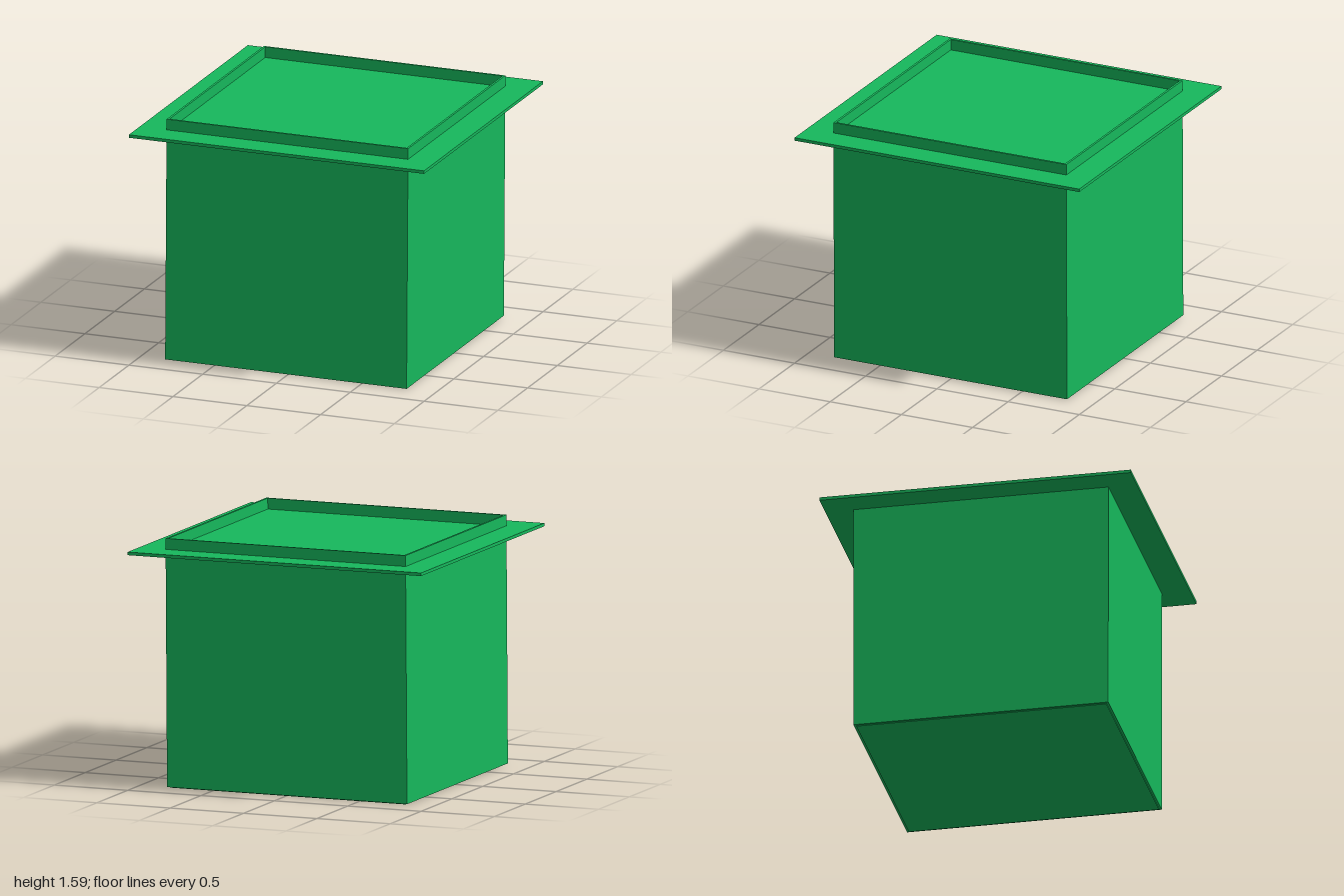
import * as THREE from 'three';

const OUTER = 0.818, INNER = 0.803, TOP = 1.59, FLOOR = 0.012;

function square(half, Type = THREE.Shape) {
  const s = new Type();
  s.moveTo(-half, -half);
  s.lineTo(half, -half);
  s.lineTo(half, half);
  s.lineTo(-half, half);
  s.closePath();
  return s;
}

// The box leans very slightly: its foot sits a touch towards -x
function lean(geometry) {
  const p = geometry.attributes.position;
  for (let i = 0; i < p.count; i++) {
    p.setX(i, p.getX(i) - 0.01 * (1 - p.getY(i) / TOP));
  }
  geometry.computeVertexNormals();
  return geometry;
}

export function createModel() {
  const group = new THREE.Group();
  group.name = 'flangedBox';
  const green = new THREE.MeshStandardMaterial({ color: 0x16b85c, flatShading: true });
  const add = (name, geometry) => {
    const mesh = new THREE.Mesh(geometry, green);
    mesh.name = name;
    group.add(mesh);
    return mesh;
  };

  // Thin square tube forming the four walls and the raised rim
  const wallShape = square(OUTER);
  wallShape.holes.push(square(INNER, THREE.Path));
  const walls = new THREE.ExtrudeGeometry(wallShape, { depth: TOP - 0.005, bevelEnabled: false });
  walls.rotateX(-Math.PI / 2).translate(0, 0.005, 0);
  add('walls', lean(walls));

  // Bottom panel closing the box
  const bottom = new THREE.BoxGeometry(INNER * 2, FLOOR, INNER * 2);
  bottom.translate(0, FLOOR / 2, 0);
  add('bottomPanel', lean(bottom));

  // Wide flat plate that passes through the walls just below the rim
  add('flangePlate', new THREE.BoxGeometry(2, 0.02, 2)).position.y = 1.51;

  return group;
}
